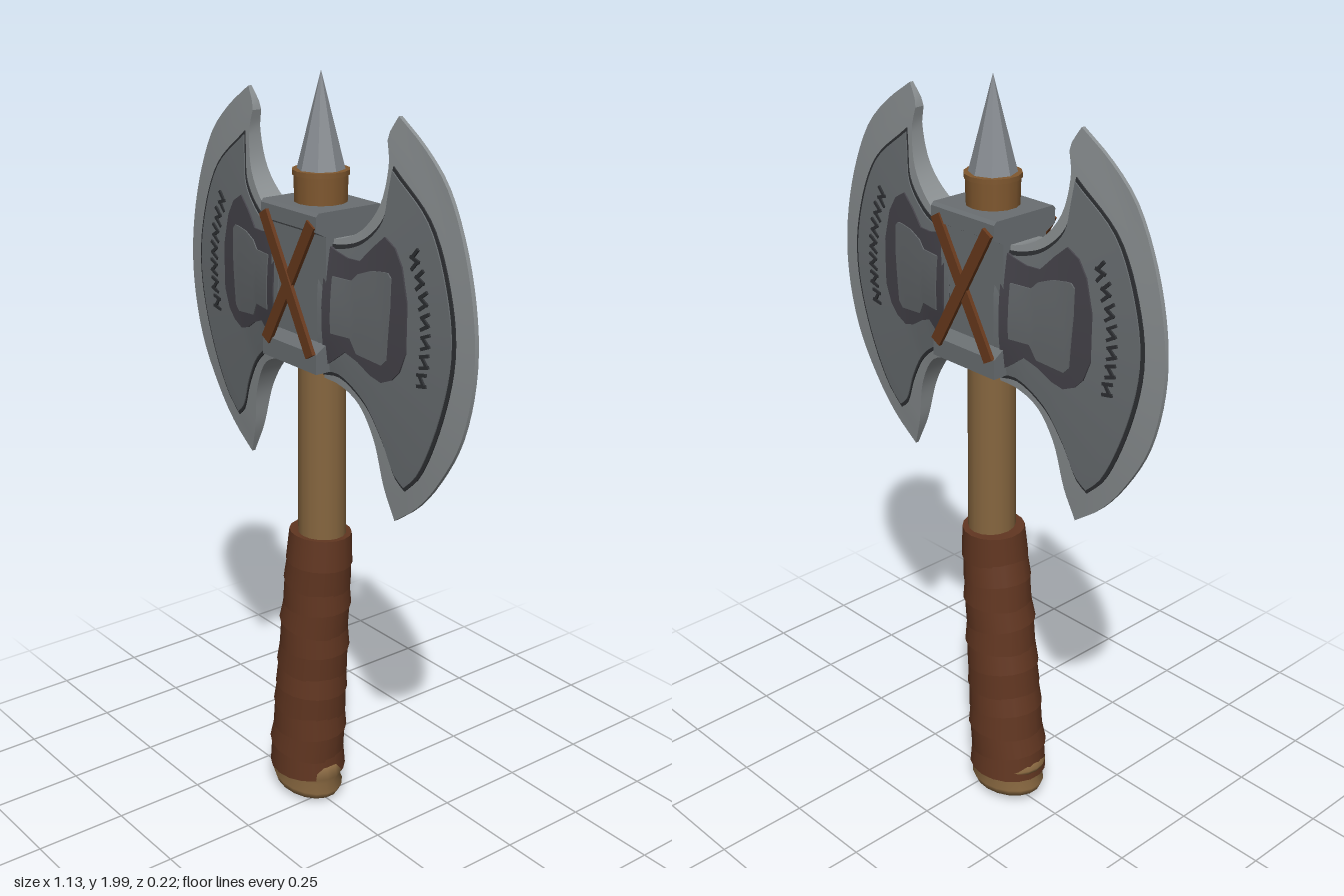
import * as THREE from 'three';
import { toCreasedNormals } from 'three/addons/utils/BufferGeometryUtils.js';

const mat = (name, color) => Object.assign(new THREE.MeshStandardMaterial({ color }), { name });
const M = {
  edge: mat('bright edge steel', 0x8a8f91),
  steel: mat('blade steel', 0x6a6f72),
  panel: mat('panel steel', 0x63676a),
  dark: mat('dark iron', 0x45434a),
  rim: mat('black rim', 0x2e3033),
  wood: mat('wood', 0x86663f),
  collar: mat('collar wood', 0x80582f),
  wrap: mat('leather wrap', 0x613621),
  strap: mat('leather strap', 0x68391c),
  spike: mat('spike steel', 0x868b90),
};
const MID = 1.44; // height of the blade centre

function add(parent, name, geo, material, x = 0, y = 0, z = 0) {
  const m = new THREE.Mesh(geo, material);
  m.name = name;
  m.position.set(x, y, z);
  parent.add(m);
  return m;
}

// Half thickness of the blade, by distance from its centre
const THICK = [[0, 0.072], [0.1, 0.067], [0.2, 0.048], [0.3, 0.034], [0.4, 0.024], [0.5, 0.014], [0.57, 0.005], [1, 0.005]];
function halfThick(x, y) {
  const r = Math.hypot(x, y - MID);
  const i = THICK.findIndex((p, k) => k > 0 && r <= p[0]);
  const [a, b] = [THICK[i - 1], THICK[i]];
  return a[1] + (b[1] - a[1]) * (r - a[0]) / (b[0] - a[0]);
}

// Closed double-sided slab over a patch fn(u, v) -> [x, y]
function slab(fn, nu, nv, lift) {
  const pos = [];
  const at = (i, j, s) => {
    const [x, y] = fn(i / nu, j / nv);
    return [x, y, s * (halfThick(x, y) + lift)];
  };
  const quad = (a, b, c, d) => pos.push(...a, ...b, ...c, ...a, ...c, ...d);
  for (let i = 0; i < nu; i++) for (let j = 0; j < nv; j++) {
    const c = [[i, j], [i + 1, j], [i + 1, j + 1], [i, j + 1]];
    quad(...c.map(p => at(...p, 1)));
    quad(...c.reverse().map(p => at(...p, -1)));
  }
  const wall = (a, b) => quad(at(...a, 1), at(...a, -1), at(...b, -1), at(...b, 1));
  for (let i = 0; i < nu; i++) {
    wall([i, 0], [i + 1, 0]);
    wall([i + 1, nv], [i, nv]);
  }
  for (let j = 0; j < nv; j++) {
    wall([nu, j], [nu, j + 1]);
    wall([0, j + 1], [0, j]);
  }
  const g = new THREE.BufferGeometry();
  g.setAttribute('position', new THREE.Float32BufferAttribute(pos, 3));
  return toCreasedNormals(g, 0.5);
}

const curve = pts => {
  const c = new THREE.CatmullRomCurve3(pts.map(p => new THREE.Vector3(p[0], p[1], 0)));
  return t => c.getPointAt(t);
};

// Patch bounded by lower and upper concave edges, a straight root and the cutting arc
function bladePatch(lower, upper, arc) {
  const [B, T, A] = [lower, upper, arc].map(curve);
  const [b0, t0, b1, t1] = [B(0), T(0), B(1), T(1)];
  return (u, v) => {
    const b = B(u), t = T(u), a = A(v);
    return ['x', 'y'].map(k => (1 - v) * b[k] + v * t[k]
      + u * (a[k] - (1 - v) * b1[k] - v * t1[k])
      + (1 - u) * ((1 - v) * b0[k] + v * t0[k])
      - (1 - u) * ((1 - v) * b0[k] + v * t0[k]));
  };
}

// Patch from rows of [x, low y, high y]
const ribbon = rows => (u, v) => {
  const f = Math.min(u * (rows.length - 1), rows.length - 1 - 1e-9);
  const i = Math.floor(f), k = f - i;
  const [x, lo, hi] = rows[i].map((n, q) => n + (rows[i + 1][q] - n) * k);
  return [x, lo + (hi - lo) * v];
};

function makeBlade() {
  const g = new THREE.Group();
  g.name = 'blade';
  const body = bladePatch(
    [[0.08, 1.27], [0.13, 1.265], [0.19, 1.235], [0.24, 1.155], [0.27, 1.03], [0.30, 0.95]],
    [[0.08, 1.62], [0.14, 1.63], [0.2, 1.66], [0.255, 1.73], [0.272, 1.83], [0.262, 1.88], [0.29, 1.93]],
    [[0.30, 0.95], [0.38, 1.01], [0.45, 1.09], [0.53, 1.23], [0.565, 1.42], [0.535, 1.62], [0.46, 1.79], [0.38, 1.87], [0.29, 1.93]]);
  add(g, 'bladeEdge', slab(body, 20, 32, 0), M.edge);
  const face = d => bladePatch(
    [[0.08, 1.28 + d], [0.14, 1.285 + d], [0.22, 1.235 + d], [0.275, 1.155 + d], [0.315, 1.07 + d], [0.345, 1.045 + d]],
    [[0.08, 1.61 - d], [0.14, 1.615 - d], [0.21, 1.64 - d], [0.27, 1.7 - d], [0.283, 1.77 - d], [0.29, 1.82 - d]],
    [[0.345, 1.045 + d], [0.4 - d, 1.1], [0.475 - d, 1.26], [0.51 - d, 1.42], [0.495 - d, 1.55], [0.425 - d, 1.71], [0.29, 1.82 - d]]);
  add(g, 'bladeRim', slab(face(0), 20, 28, 0.003), M.rim);
  add(g, 'bladeFace', slab(face(0.01), 20, 28, 0.006), M.steel);
  add(g, 'darkInlay', slab(ribbon([[0.1, 1.31, 1.61], [0.13, 1.33, 1.6], [0.17, 1.36, 1.59], [0.21, 1.345, 1.59],
    [0.25, 1.32, 1.63], [0.285, 1.31, 1.66], [0.32, 1.325, 1.64], [0.345, 1.35, 1.6], [0.365, 1.4, 1.52]]), 24, 6, 0.01), M.dark);
  add(g, 'innerInlay', slab(ribbon([[0.13, 1.4, 1.54], [0.19, 1.4, 1.54], [0.21, 1.365, 1.56], [0.25, 1.36, 1.575],
    [0.29, 1.355, 1.58], [0.305, 1.37, 1.58], [0.315, 1.5, 1.57]]), 18, 6, 0.013), M.panel);
  // Small engraved zigzag ornaments following the cutting arc
  for (let i = 0; i < 7; i++) for (const s of [1, -1]) {
    const a = -0.22 + i * 0.112, x = 0.425 * Math.cos(a), y = MID + 0.425 * Math.sin(a);
    [[0.017, 0.4], [0, -0.75], [-0.017, 0.4]].forEach(([off, tilt]) => {
      const m = add(g, 'ornament', new THREE.BoxGeometry(0.032, 0.008, 0.005), M.rim,
        x, y + off * 0.8, s * (halfThick(x, y) + 0.008));
      m.rotation.z = a + tilt;
    });
  }
  return g;
}

export function createModel() {
  const model = new THREE.Group();
  model.name = 'battleAxe';

  // Two matching blades
  const left = makeBlade(), right = makeBlade();
  right.rotation.y = Math.PI;
  model.add(left, right);

  // Head block, waisted between its end caps
  const half = [[0.1, 1.295], [0.1, 1.345], [0.07, 1.365], [0.07, 1.63], [0.1, 1.645], [0.1, 1.682], [0.092, 1.69]];
  const outline = [...half, ...half.map(([z, y]) => [-z, y]).reverse()].map(p => new THREE.Vector2(...p));
  const block = new THREE.ExtrudeGeometry(new THREE.Shape(outline), { depth: 0.22, bevelEnabled: false });
  block.rotateY(Math.PI / 2);
  add(model, 'headBlock', block, M.steel, -0.11);

  // Crossed straps, front and back
  for (const s of [1, -1]) for (const t of [1, -1]) {
    const strap = add(model, 'crossStrap', new THREE.BoxGeometry(0.032, 0.375, 0.01), M.strap, 0, 1.5, s * (0.102 + t * 0.002));
    strap.rotation.z = t * 0.52;
  }

  // Collar and spike
  add(model, 'collar', new THREE.CylinderGeometry(0.068, 0.066, 0.08, 14), M.collar, 0, 1.725);
  add(model, 'collarLip', new THREE.CylinderGeometry(0.071, 0.071, 0.012, 14), M.collar, 0, 1.762);
  const spike = new THREE.CylinderGeometry(0, 0.06, 0.235, 8).toNonIndexed();
  spike.computeVertexNormals();
  add(model, 'spike', spike, M.spike, 0, 1.8825);

  // Shaft
  add(model, 'shaft', new THREE.CylinderGeometry(0.061, 0.063, 0.6, 16), M.wood, 0.004, 1.02);

  // Leather grip: overlapping tilted bands along the bent handle
  const axis = y => -0.068 * Math.pow((0.82 - y) / 0.77, 0.9);
  const bands = 11;
  for (let i = 0; i < bands; i++) {
    const k = i / (bands - 1), y = 0.775 - k * 0.645;
    const r = 0.08 + 0.014 * k;
    const geo = new THREE.CylinderGeometry(r, r + 0.006, 0.086, 18);
    geo.scale(1.06 + 0.05 * k, 1, 1);
    const band = add(model, 'gripBand', geo, M.wrap, axis(y), y);
    band.rotation.z = -0.06 + (i % 2 ? -0.1 : 0.04);
    band.rotation.x = i % 3 ? 0.03 : -0.04;
  }

  // Wooden pommel with a rounded underside
  const pommel = new THREE.LatheGeometry(
    [[0, 0], [0.06, 0.004], [0.092, 0.02], [0.1, 0.04], [0.088, 0.065], [0.098, 0.085], [0.092, 0.12], [0, 0.125]]
      .map(p => new THREE.Vector2(...p)), 18);
  pommel.scale(1.13, 1, 0.86);
  add(model, 'pommel', pommel, M.wood, -0.064, 0.008).rotation.z = -0.07;
  add(model, 'pommelRing', new THREE.TorusGeometry(0.082, 0.014, 6, 20).rotateX(Math.PI / 2).scale(1.18, 1, 0.9),
    M.wood, -0.068, 0.1).rotation.z = -0.2;
  return model;
}
